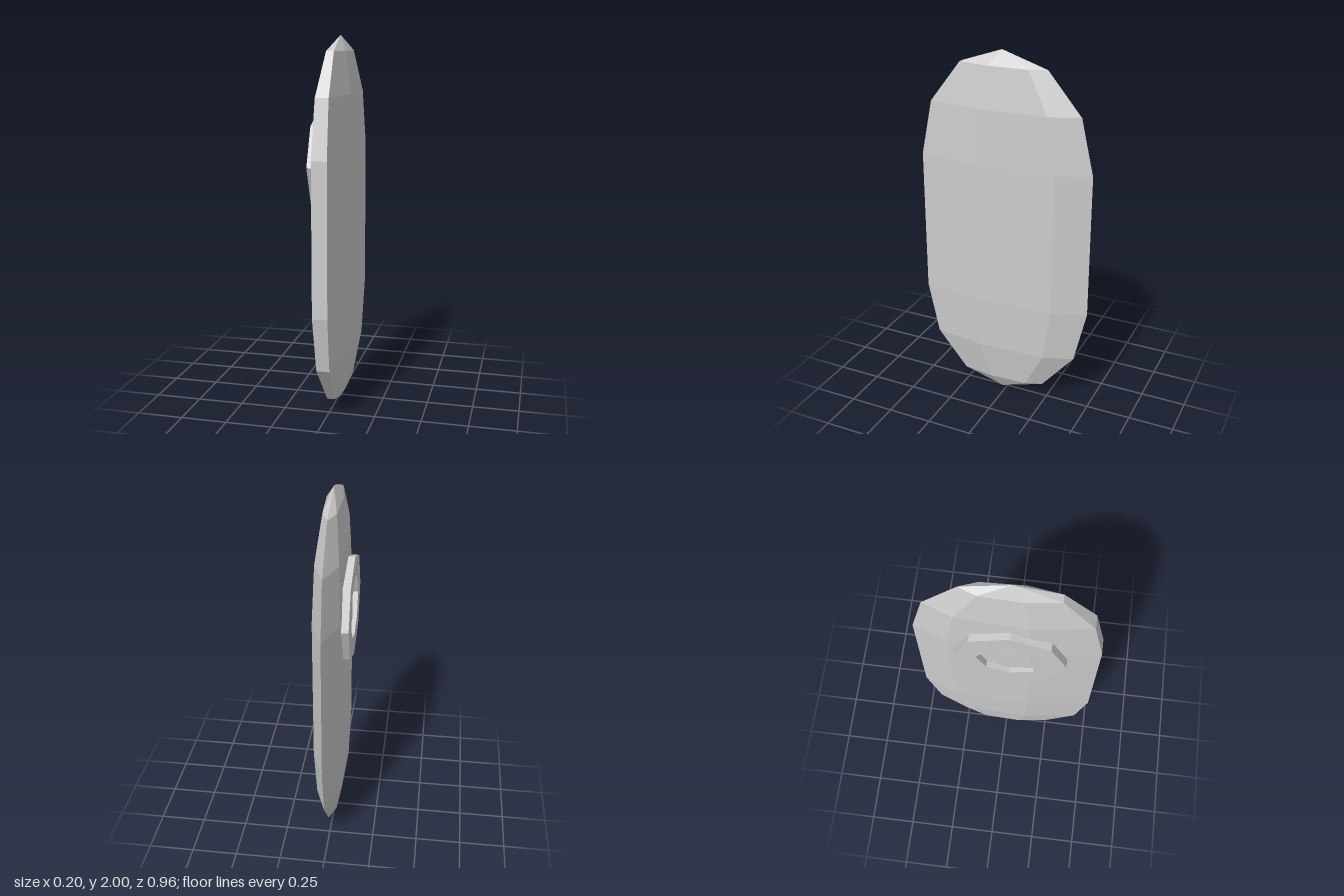
import * as THREE from 'three';

const material = new THREE.MeshStandardMaterial({ color: 0xcccccc, flatShading: true, side: THREE.DoubleSide });

// Horizontal outline [x, z] about the centre line: pointed back, blunt front edge
const outline = [[0, -0.48], [0.07, -0.295], [0.088, 0.14], [0.04, 0.483], [-0.04, 0.483], [-0.087, 0.13], [-0.07, -0.295]];
// Levels [y, scale, z offset], closing to a point at both ends
const levels = [[0, 0, 0.025], [0.08, 0.5, 0.015], [0.3, 0.865, 0.005], [0.6, 1, 0],
  [1.4, 1, 0], [1.7, 0.865, 0.005], [1.92, 0.5, 0.015], [2, 0, 0.025]];

function loftBody() {
  const n = outline.length, positions = [], index = [];
  for (const [y, s, dz] of levels)
    for (const [x, z] of outline) positions.push(0.01 + x * s, y, z * s + dz);
  for (let l = 0; l < levels.length - 1; l++) {
    for (let i = 0; i < n; i++) {
      const a = l * n + i, b = l * n + (i + 1) % n, c = a + n, d = b + n;
      if (levels[l][1] > 0) index.push(a, c, b);
      if (levels[l + 1][1] > 0) index.push(b, c, d);
    }
  }
  // The triangles next to each tip collapse to a point on one side
  const last = (levels.length - 2) * n;
  for (let i = 0; i < n; i++) {
    if (!index.includes(last + n + i)) index.push(last + i, last + n + i, last + (i + 1) % n);
  }
  const geometry = new THREE.BufferGeometry();
  geometry.setAttribute('position', new THREE.Float32BufferAttribute(positions, 3));
  geometry.setIndex(index);
  const flat = geometry.toNonIndexed();
  flat.computeVertexNormals();
  return flat;
}

function octagon(radius) {
  return Array.from({ length: 8 }, (_, i) => {
    const a = i * Math.PI / 4;
    return new THREE.Vector2(Math.cos(a) * radius, Math.sin(a) * radius);
  });
}

export function createModel() {
  const group = new THREE.Group();

  const body = new THREE.Mesh(loftBody(), material);
  body.name = 'body';
  group.add(body);

  // Raised octagonal ring on the -x face
  const shape = new THREE.Shape(octagon(0.288));
  shape.holes.push(new THREE.Path(octagon(0.172).reverse()));
  const ring = new THREE.Mesh(new THREE.ExtrudeGeometry(shape, { depth: 0.06, bevelEnabled: false }), material);
  ring.name = 'sideRing';
  ring.rotation.y = -Math.PI / 2;
  ring.position.set(-0.04, 1.34, 0.027);
  group.add(ring);

  return group;
}
